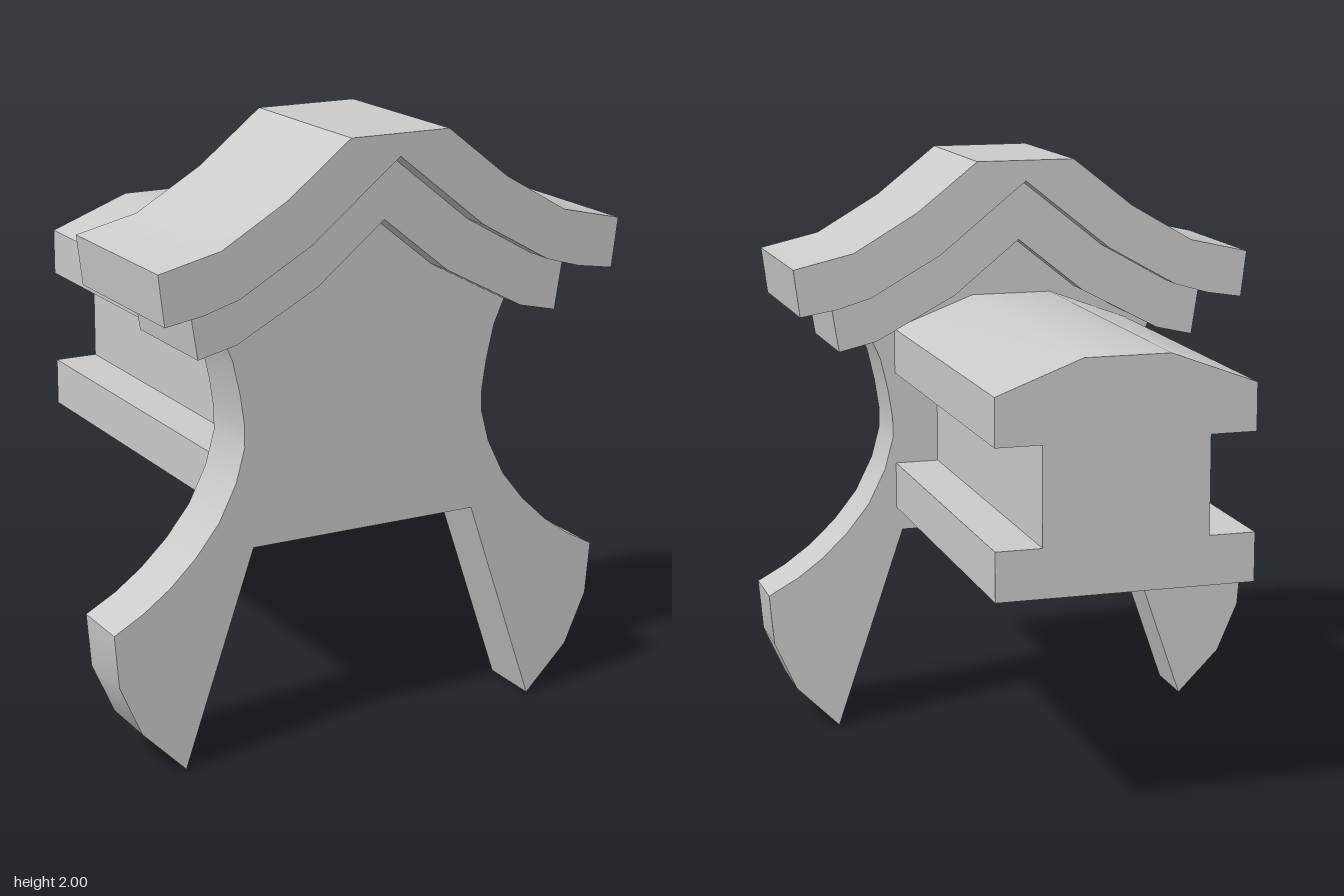
import * as THREE from 'three';
import { toCreasedNormals } from 'three/addons/utils/BufferGeometryUtils.js';

const material = new THREE.MeshStandardMaterial({ color: 0xcccccc, side: THREE.DoubleSide });

// Extrudes the mirrored right half of an outline from z0 to z1.
// The half runs from one end of the outline to the other; points on x = 0 are not doubled.
function slab(half, z0, z1) {
  const mirrored = half.filter(([x]) => x > 0).map(([x, y]) => [-x, y]).reverse();
  const last = half[half.length - 1];
  const first = half[0];
  const loop = [...half];
  // Points lying on the axis stay in place at either end of the half
  if (last[0] === 0 || first[0] >= 0) loop.push(...mirrored);
  const shape = new THREE.Shape(loop.map(([x, y]) => new THREE.Vector2(x, y)));
  const geometry = new THREE.ExtrudeGeometry(shape, { depth: z1 - z0, bevelEnabled: false });
  return geometry.translate(0, 0, z0);
}

// Keeps only the triangles for which no corner test holds on all three corners
function dropFaces(geometry, ...tests) {
  const source = geometry.index ? geometry.toNonIndexed() : geometry;
  const p = source.attributes.position;
  const kept = [];
  for (let i = 0; i < p.count; i += 3) {
    const corners = [0, 1, 2].map((k) => new THREE.Vector3().fromBufferAttribute(p, i + k));
    if (!tests.some((test) => corners.every(test))) corners.forEach((c) => kept.push(c.x, c.y, c.z));
  }
  const result = new THREE.BufferGeometry();
  result.setAttribute('position', new THREE.Float32BufferAttribute(kept, 3));
  return result;
}

function part(name, geometry) {
  const mesh = new THREE.Mesh(toCreasedNormals(geometry, 0.55), material);
  mesh.name = name;
  return mesh;
}

export function createModel() {
  const group = new THREE.Group();

  // Shared gull-wing curves between the stacked layers, from the centre outwards
  const upperSeam = [[0, 1.93], [0.3, 1.69], [0.54, 1.555], [0.66, 1.52]];
  const lowerSeam = [[0, 1.72], [0.23, 1.535], [0.505, 1.39]];

  // Wide roof cap
  group.add(part('roofCap', slab(
    [...upperSeam, [0.785, 1.5], [0.805, 1.66], [0.6, 1.707], [0.38, 1.835], [0.17, 2]],
    0.25, 0.83)));

  // Narrower moulding under the cap
  group.add(part('roofMoulding', slab(
    [...lowerSeam, [0.635, 1.36], [0.66, 1.52], ...upperSeam.slice(0, 3).reverse()],
    0.34, 0.74)));

  // Front plate with a pinched waist and two splayed legs
  group.add(part('frontPlateWithLegs', slab(
    [...lowerSeam, [0.47, 1.31], [0.445, 1.2], [0.43, 1.1], [0.43, 1.03], [0.46, 0.92],
      [0.52, 0.8], [0.6, 0.7], [0.69, 0.615], [0.78, 0.55], [0.88, 0.495],
      [0.865, 0.32], [0.79, 0.15], [0.64, 0], [0.4, 0.7]],
    0.435, 0.645)));

  // Hollow rear beam with side grooves, open underneath and against the plate
  const beamFront = 0.435;
  const beamBottom = 0.78;
  const beam = slab(
    [[0.42, beamBottom], [0.42, 0.94], [0.27, 0.94], [0.27, 1.26], [0.42, 1.26], [0.42, 1.415], [0.14, 1.52]],
    -0.83, beamFront);
  group.add(part('rearBeam', dropFaces(beam,
    (c) => Math.abs(c.y - beamBottom) < 1e-4,
    (c) => Math.abs(c.z - beamFront) < 1e-4)));

  return group;
}
